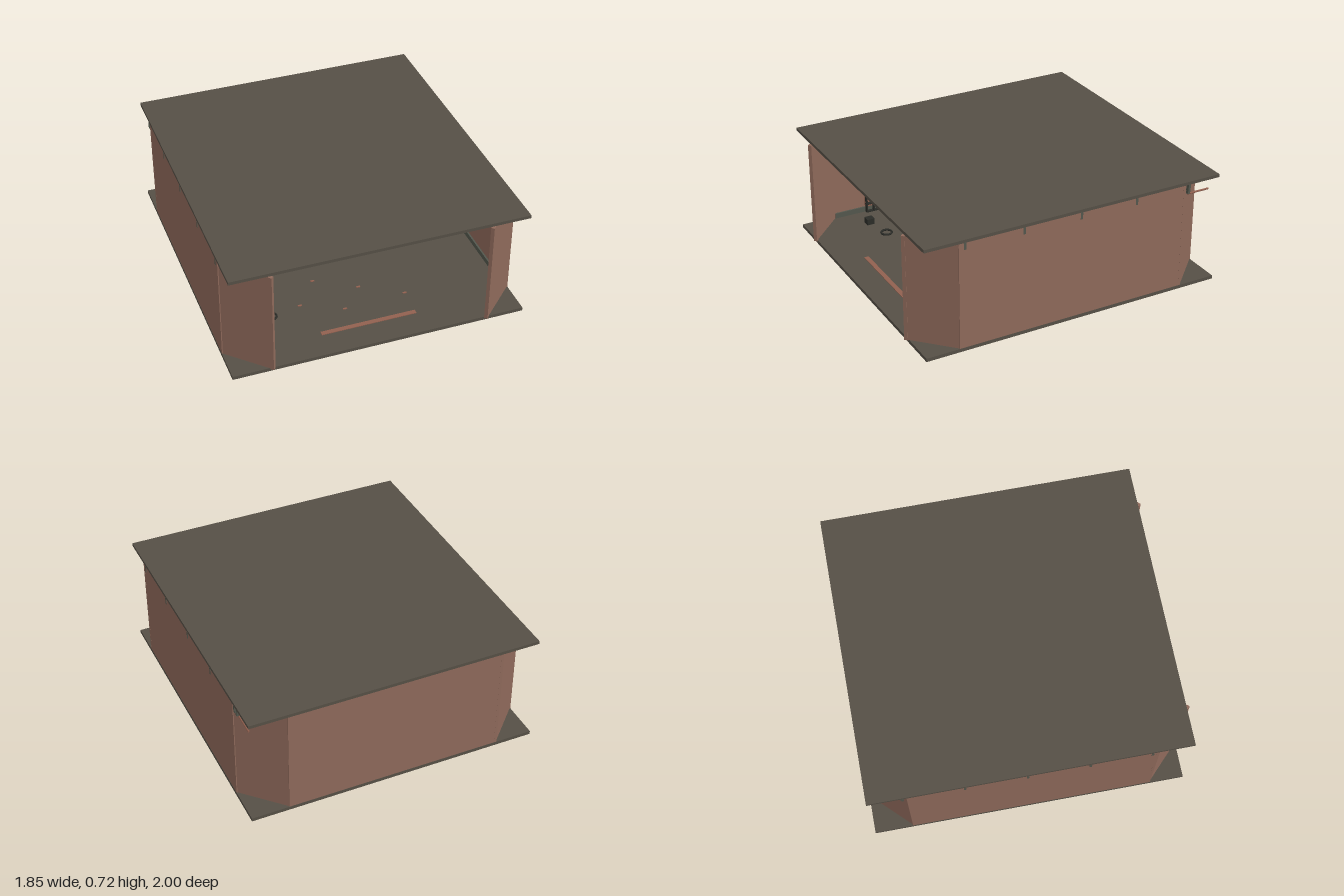
import * as THREE from 'three';

const mat = (name, color, side = THREE.FrontSide) => {
  const m = new THREE.MeshStandardMaterial({ color, side });
  m.name = name;
  return m;
};

export function createModel() {
  const root = new THREE.Group();
  root.name = 'workshopRoom';
  const brown = mat('brownWall', 0x8f6a5b);
  const slab = mat('darkSlab', 0x565046);
  const beamGrey = mat('greyBeam', 0x53574d);
  const dark = mat('darkMetal', 0x2b2c28);
  const green = mat('mutedGreen', 0x5f7563);
  const rust = mat('rustRed', 0x92604f);
  const pale = mat('paleMetal', 0x6e756a);

  const add = (name, geo, m, x = 0, y = 0, z = 0, parent = root) => {
    const o = new THREE.Mesh(geo, m);
    o.name = name;
    o.position.set(x, y, z);
    parent.add(o);
    return o;
  };
  const box = (name, w, h, d, m, x, y, z, parent) =>
    add(name, new THREE.BoxGeometry(w, h, d), m, x, y, z, parent);
  const cyl = (name, r1, r2, h, m, x, y, z, parent, n = 16) =>
    add(name, new THREE.CylinderGeometry(r1, r2, h, n), m, x, y, z, parent);
  const disc = (name, r, d, m, x, y, z, parent) => {
    const o = cyl(name, r, r, d, m, x, y, z, parent, 24);
    o.rotation.x = Math.PI / 2;
    return o;
  };
  const tube = (name, pts, r, m, parent) => add(name, new THREE.TubeGeometry(
    new THREE.CatmullRomCurve3(pts.map(p => new THREE.Vector3(...p))), 28, r, 7), m, 0, 0, 0, parent);

  // Floor and ceiling
  box('floor', 1.85, 0.022, 1.975, slab, 0, 0.011, -0.0125);
  box('ceiling', 1.85, 0.02, 1.975, slab, 0, 0.712, -0.0125);

  // Walls follow an octagon that is open at the front
  const corners = [[0.68, 0.982], [0.916, 0.752], [0.916, -0.752], [0.68, -0.991],
    [-0.68, -0.991], [-0.916, -0.752], [-0.916, 0.752], [-0.68, 0.982]];
  for (let i = 0; i < 7; i++) {
    const [x1, z1] = corners[i], [x2, z2] = corners[i + 1];
    const w = box('wallPanel', Math.hypot(x2 - x1, z2 - z1), 0.682, 0.016, brown,
      (x1 + x2) / 2, 0.361, (z1 + z2) / 2);
    w.rotation.y = -Math.atan2(z2 - z1, x2 - x1);
  }
  for (const [x, z] of corners) {
    const front = z > 0.9;
    const p = box('cornerPost', front ? 0.022 : 0.017, 0.682, front ? 0.022 : 0.017, brown, x, 0.361, z);
    if (front) p.rotation.y = Math.PI / 4;
  }

  // Ceiling beams, their ends show through the side walls
  for (const z of [0.72, 0.343, -0.035, -0.412, -0.785])
    box('ceilingBeam', 1.852, 0.044, 0.015, beamGrey, 0, 0.681, z);

  // Skirting boards
  box('backSkirting', 1.36, 0.035, 0.012, beamGrey, 0, 0.039, -0.978);
  for (const s of [-1, 1]) box('sideSkirting', 0.012, 0.035, 1.5, beamGrey, s * 0.903, 0.039, 0);
  box('skirtingRail', 0.41, 0.006, 0.008, rust, -0.47, 0.054, -0.969);

  // Rod and brackets outside the rear corners
  for (const s of [-1, 1]) box('cornerBracket', 0.03, 0.05, 0.018, beamGrey, s * 0.9, 0.66, -0.79);
  const rod = cyl('cornerRod', 0.006, 0.006, 0.15, rust, 0.9, 0.63, -0.865, root, 8);
  rod.rotation.x = Math.PI / 2;

  // Framed display on the back wall
  box('displayPanel', 0.54, 0.41, 0.006, brown, 0, 0.455, -0.978);
  for (const s of [-1, 1]) box('displayEdge', 0.003, 0.41, 0.008, dark, s * 0.27, 0.455, -0.976);
  box('displayLedge', 0.54, 0.01, 0.03, beamGrey, 0, 0.25, -0.965);
  box('displayLine', 0.54, 0.004, 0.01, dark, 0, 0.325, -0.972);
  box('greenBanner', 0.4, 0.285, 0.005, green, 0, 0.442, -0.972);
  disc('bannerDisc', 0.092, 0.004, rust, 0.015, 0.44, -0.968);

  // Hanging lamps and a small wall box
  for (const s of [-1, 1]) {
    box('lampRod', 0.004, 0.075, 0.004, dark, s * 0.42, 0.63, -0.035);
    box('lampShade', 0.12, 0.008, 0.06, pale, s * 0.47, 0.594, -0.035);
  }
  box('wallBox', 0.022, 0.06, 0.04, brown, 0.66, 0.62, -0.94);

  // Boiler machine in the middle of the room
  const boiler = new THREE.Group();
  boiler.name = 'boiler';
  boiler.position.set(0, 0, -0.09);
  root.add(boiler);
  box('basePlate', 0.3, 0.014, 0.2, rust, 0, 0.035, 0, boiler);
  box('fireBox', 0.17, 0.13, 0.15, brown, 0.005, 0.108, 0, boiler);
  box('firePlinth', 0.19, 0.014, 0.17, dark, 0.005, 0.047, 0, boiler);
  box('fireDoor', 0.085, 0.035, 0.009, dark, -0.015, 0.09, 0.079, boiler);
  box('doorHandle', 0.06, 0.008, 0.01, pale, -0.015, 0.095, 0.088, boiler);
  box('controlBox', 0.175, 0.075, 0.16, brown, 0.005, 0.21, 0, boiler);
  for (const y of [0.174, 0.25])
    box('controlTrim', 0.19, 0.008, 0.17, dark, 0.005, y, 0, boiler);
  box('controlPlate', 0.08, 0.055, 0.006, green, -0.03, 0.212, 0.082, boiler);
  for (const [x, y, r] of [[-0.052, 0.225, 0.014], [-0.015, 0.225, 0.014], [-0.04, 0.195, 0.009],
    [-0.01, 0.195, 0.009], [0.025, 0.215, 0.01]]) {
    disc('gaugeRim', r, 0.008, dark, x, y, 0.086, boiler);
    disc('gaugeFace', r * 0.7, 0.004, pale, x, y, 0.091, boiler);
  }
  const lever = cyl('lever', 0.006, 0.01, 0.05, dark, 0.065, 0.22, 0.087, boiler, 8);
  lever.rotation.z = 0.1;
  add('tank', new THREE.LatheGeometry([[0, 0.254], [0.06, 0.254], [0.06, 0.27], [0.053, 0.275],
    [0.053, 0.365], [0.048, 0.378], [0.034, 0.394], [0.014, 0.405], [0.008, 0.412], [0.008, 0.445], [0, 0.445]]
    .map(p => new THREE.Vector2(...p)), 24), brown, -0.018, 0, 0, boiler);
  for (const y of [0.266, 0.32, 0.37]) {
    const band = add('tankBand', new THREE.TorusGeometry(0.053, 0.004, 6, 24), dark, -0.018, y, 0, boiler);
    band.rotation.x = Math.PI / 2;
  }
  cyl('neckPipe', 0.009, 0.009, 0.06, dark, -0.018, 0.425, 0, boiler);
  disc('dialBody', 0.05, 0.03, dark, -0.018, 0.495, 0, boiler);
  disc('dialFace', 0.042, 0.006, pale, -0.018, 0.495, 0.016, boiler);
  add('dialRim', new THREE.TorusGeometry(0.049, 0.006, 8, 32), pale, -0.018, 0.495, 0.014, boiler);
  disc('dialHub', 0.008, 0.008, dark, -0.018, 0.495, 0.02, boiler);

  // Boiler pipes, crank and side leg
  tube('outletPipe', [[0.03, 0.31, 0], [0.09, 0.313, 0], [0.125, 0.308, 0], [0.132, 0.28, 0], [0.132, 0.2, 0]], 0.007, dark, boiler);
  cyl('outletValve', 0.01, 0.01, 0.035, dark, 0.132, 0.255, 0, boiler, 10);
  tube('drainPipe', [[-0.085, 0.11, 0], [-0.11, 0.09, 0], [-0.12, 0.05, 0], [-0.155, 0.034, 0]], 0.007, dark, boiler);
  tube('sidePipe', [[-0.08, 0.16, 0], [-0.1, 0.16, 0], [-0.105, 0.175, 0], [-0.105, 0.2, 0]], 0.004, dark, boiler);
  box('crankArm', 0.07, 0.007, 0.007, rust, 0.12, 0.14, 0, boiler);
  box('crankGrip', 0.007, 0.045, 0.007, dark, 0.115, 0.125, 0.01, boiler);

  // Hanging cables
  const cables = [
    [[-0.53, 0.585], [-0.43, 0.625], [-0.3, 0.633], [-0.17, 0.585], [-0.065, 0.515]],
    [[-0.91, 0.5], [-0.68, 0.492], [-0.5, 0.477], [-0.32, 0.44], [-0.18, 0.415]],
    [[0.055, 0.515], [0.1, 0.585], [0.18, 0.618], [0.4, 0.6], [0.57, 0.56], [0.63, 0.51]],
    [[0.08, 0.54], [0.25, 0.485], [0.45, 0.4], [0.67, 0.3], [0.91, 0.2]],
    [[0.18, 0.415], [0.34, 0.445], [0.55, 0.49], [0.68, 0.498], [0.91, 0.5]],
    [[-0.015, 0.66], [-0.045, 0.615], [-0.04, 0.58], [-0.018, 0.54]]];
  for (const c of cables) tube('cable', c.map(([x, y]) => [x, y, -0.09]), 0.0045, dark);

  // Pigeonhole rack and dials on the left-hand wall
  const rack = new THREE.Group();
  rack.name = 'wallRack';
  rack.position.set(-0.89, 0.11, 0.43);
  root.add(rack);
  box('rackBack', 0.01, 0.18, 0.21, rust, -0.012, 0, 0, rack);
  for (let i = 0; i < 4; i++) box('rackShelf', 0.03, 0.009, 0.21, dark, 0, -0.084 + i * 0.056, 0, rack);
  for (let i = 0; i < 5; i++) box('rackDivider', 0.03, 0.18, 0.009, dark, 0, 0, -0.1 + i * 0.05, rack);
  for (const [y, z] of [[0.35, 0.56], [0.13, 0.04]]) {
    const d = cyl('wallDial', 0.016, 0.016, 0.014, dark, -0.9, y, z, root, 14);
    d.rotation.z = Math.PI / 2;
  }

  // Floor strip, ring and loose scraps
  box('floorStrip', 0.61, 0.004, 0.03, rust, -0.01, 0.024, 0.79);
  const ring = add('floorRing', new THREE.TorusGeometry(0.035, 0.007, 6, 20), dark, -0.55, 0.028, 0.54);
  ring.rotation.x = Math.PI / 2;
  box('toolCrate', 0.05, 0.04, 0.05, dark, -0.73, 0.042, 0.58);
  for (const [x, z] of [[-0.45, 0.15], [-0.35, 0.5], [-0.2, 0.3], [-0.1, 0.62], [0.05, 0.45], [0.3, 0.6], [-0.5, -0.1]])
    box('floorScrap', 0.025, 0.004, 0.012, rust, x, 0.024, z);

  return root;
}
